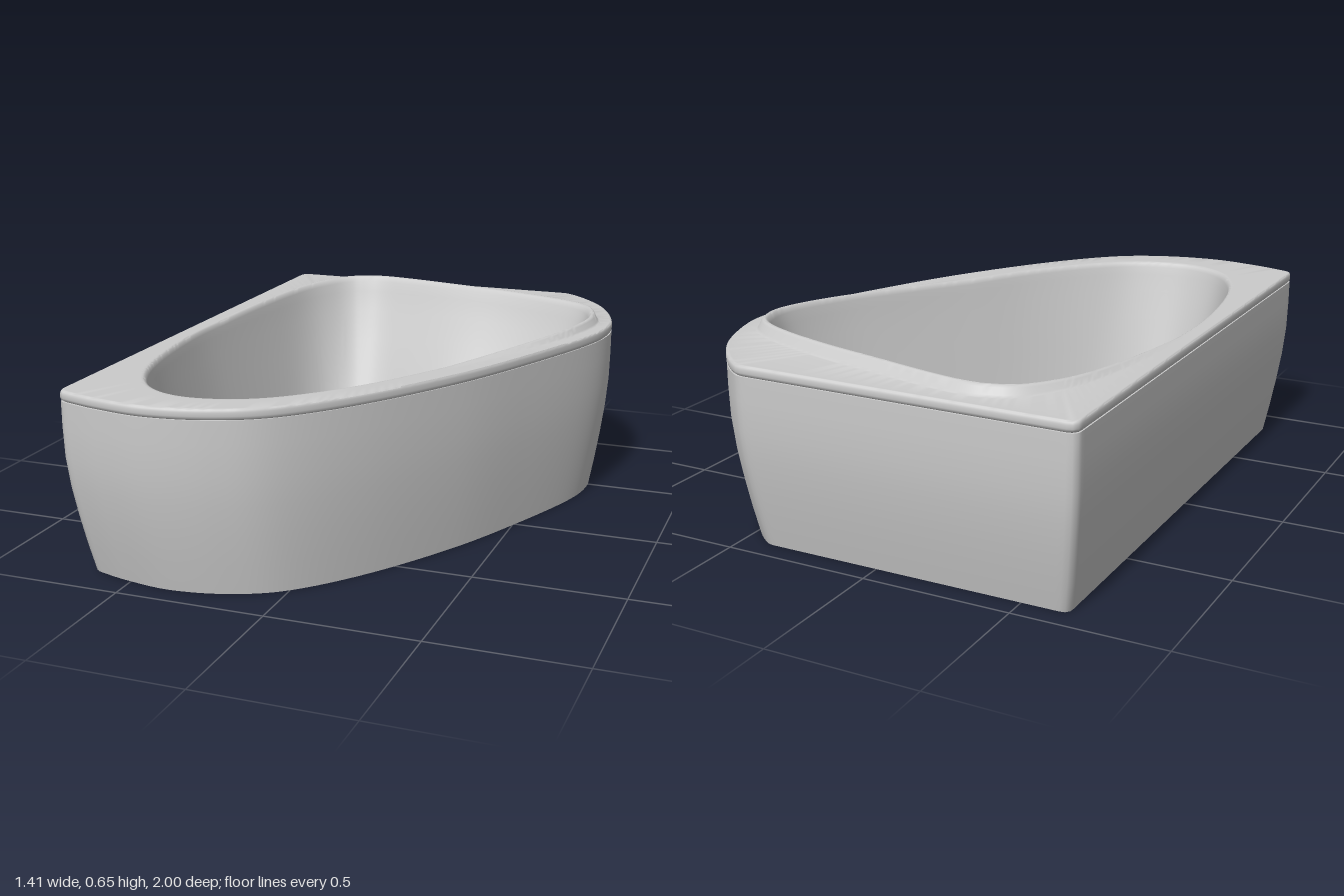
import * as THREE from 'three';
import { toCreasedNormals } from 'three/addons/utils/BufferGeometryUtils.js';

const V2 = (x, y) => new THREE.Vector2(x, y);
const toPts = (list) => list.map(([x, z]) => V2(x, z));
const CENTRE = V2(-0.1, -0.1);

// Outer plan outline (x, z): straight back and right sides, sweeping curve elsewhere
function outerOutline() {
  const s = new THREE.Shape();
  s.moveTo(-0.675, -1);
  s.lineTo(0.41, -1);
  s.splineThru(toPts([[0.45, -0.99], [0.53, -0.92], [0.62, -0.8], [0.685, -0.64], [0.706, -0.5],
    [0.672, -0.32], [0.555, -0.02], [0.405, 0.3], [0.2, 0.63], [0.0, 0.86], [-0.18, 0.96],
    [-0.38, 0.998], [-0.56, 0.975], [-0.685, 0.94]]));
  s.quadraticCurveTo(-0.707, 0.932, -0.707, 0.905);
  s.lineTo(-0.707, -0.97);
  s.quadraticCurveTo(-0.707, -1, -0.675, -1);
  return s.getSpacedPoints(320).slice(0, -1);
}

const openingOutline = [[-0.33, -0.895], [-0.2, -0.88], [0, -0.835], [0.25, -0.775], [0.45, -0.71],
  [0.57, -0.645], [0.62, -0.56], [0.63, -0.45], [0.58, -0.27], [0.48, -0.05], [0.33, 0.24],
  [0.18, 0.5], [0.03, 0.69], [-0.12, 0.81], [-0.3, 0.855], [-0.45, 0.8], [-0.55, 0.66],
  [-0.61, 0.45], [-0.645, 0.15], [-0.642, -0.1], [-0.61, -0.4], [-0.56, -0.65], [-0.49, -0.8], [-0.42, -0.87]];

const floorOutline = [[-0.28, -0.555], [-0.2, -0.535], [-0.1, -0.475], [0.02, -0.44], [0.2, -0.41],
  [0.33, -0.38], [0.375, -0.31], [0.35, -0.18], [0.25, 0.05], [0.12, 0.3], [0, 0.48], [-0.1, 0.58],
  [-0.2, 0.64], [-0.3, 0.64], [-0.4, 0.55], [-0.455, 0.35], [-0.487, 0.1], [-0.48, -0.15],
  [-0.45, -0.38], [-0.405, -0.49], [-0.35, -0.54]];

// Points of a closed smooth outline on the rays from CENTRE through the outer points
function alongRays(list, outer) {
  const curve = new THREE.SplineCurve(toPts([list[list.length - 1], ...list, list[0], list[1]]));
  const pts = curve.getPoints(500).map((p) => p.sub(CENTRE));
  return outer.map((o) => {
    const d = o.clone().sub(CENTRE).normalize();
    for (let i = 0; i < pts.length - 1; i++) {
      const a = pts[i], b = pts[i + 1];
      const ca = d.cross(a), cb = d.cross(b);
      if (ca * cb <= 0 && ca !== cb && d.dot(a) > 0) {
        return a.clone().lerp(b, ca / (ca - cb)).add(CENTRE);
      }
    }
    return CENTRE.clone();
  });
}

// Skin a stack of closed rings, each an array of Vector3
function loft(rings, crease) {
  const n = rings[0].length, pos = [], idx = [];
  rings.forEach((r) => r.forEach((p) => pos.push(p.x, p.y, p.z)));
  for (let k = 0; k < rings.length - 1; k++) {
    for (let j = 0; j < n; j++) {
      const a = k * n + j, b = k * n + (j + 1) % n;
      idx.push(a, a + n, b, b, a + n, b + n);
    }
  }
  const g = new THREE.BufferGeometry();
  g.setAttribute('position', new THREE.Float32BufferAttribute(pos, 3));
  g.setIndex(idx);
  return toCreasedNormals(g, crease);
}

export function createModel() {
  const group = new THREE.Group();
  const mat = new THREE.MeshStandardMaterial({ color: 0xcccccc, side: THREE.DoubleSide });
  const add = (name, geo) => {
    const m = new THREE.Mesh(geo, mat);
    m.name = name;
    group.add(m);
    return m;
  };

  const outer = outerOutline();
  const opening = alongRays(openingOutline, outer);
  const floor = alongRays(floorOutline, outer);
  const ring = (fn) => outer.map((o, i) => fn(o, opening[i], floor[i]));
  const at = (p, y) => new THREE.Vector3(p.x, y, p.y);
  const scaled = (s, y) => ring((o) => at(o.clone().multiplyScalar(s), y));

  // Apron: thin bowed wall, open underneath
  const bow = [[0.925, 0], [0.948, 0.1], [0.968, 0.2], [0.985, 0.3], [0.996, 0.4], [0.999, 0.5], [0.999, 0.58]];
  const apron = bow.map(([s, y]) => scaled(s, y));
  const apronInside = bow.map(([s, y]) => scaled(s - 0.015, y)).reverse();
  add('apron', loft([...apron, ...apronInside, apron[0]], 0.9));

  // Opening edge height: rises steadily from the deck towards the head end
  const raise = (p) => THREE.MathUtils.clamp(0.0375 * (0.14 - p.y + 0.35 * p.x), 0, 0.037);
  const lip = (offset, share) => ring((o, q) => {
    const gap = o.distanceTo(q);
    const reach = offset * (1 - Math.exp(-20 * gap));
    return at(q.clone().lerp(o, reach / gap), 0.615 + share * raise(q));
  });

  // Tub: slab edge, deck, raised lip, basin walls and floor
  const rings = [scaled(0.97, 0.58), scaled(0.992, 0.58), scaled(0.998, 0.585), scaled(1, 0.592),
    scaled(1, 0.604), scaled(0.998, 0.611), scaled(0.993, 0.615), scaled(0.987, 0.615),
    lip(0.048, 0), lip(0.042, 0.03), lip(0.035, 0.2), lip(0.024, 0.78), lip(0.017, 0.96), lip(0.009, 1)];
  rings.push(ring((o, q) => at(q, 0.611 + raise(q))));
  const wall = [[0.025, 0.597, 0.9], [0.06, 0.57, 0.6], [0.15, 0.505, 0.2], [0.3, 0.403, 0], [0.45, 0.303, 0],
    [0.6, 0.203, 0], [0.75, 0.11, 0], [0.84, 0.067, 0], [0.92, 0.047, 0], [1, 0.04, 0]];
  // Backrest bulge, strongest in the middle of the head end
  const bulge = (p, t) => (p.y < 0 ? 0.05 : 0) * Math.sin(Math.PI * t)
    * Math.exp(-(((p.x - 0.12) / 0.22) ** 2) - ((p.y + 0.8) / 0.25) ** 2);
  for (const [t, y, lift] of wall) {
    rings.push(ring((o, q, f) => at(q.clone().lerp(f, t), y + lift * raise(q) + bulge(q, t))));
  }
  for (const t of [0.06, 0.5, 0.999]) {
    rings.push(ring((o, q, f) => at(f.clone().lerp(CENTRE, t), 0.039)));
  }
  add('tub', loft(rings, 1));

  // Drain plug in the floor at the foot end
  const drain = add('drain', new THREE.CylinderGeometry(0.038, 0.038, 0.016, 32));
  drain.position.set(-0.275, 0.038, 0.525);

  return group;
}
